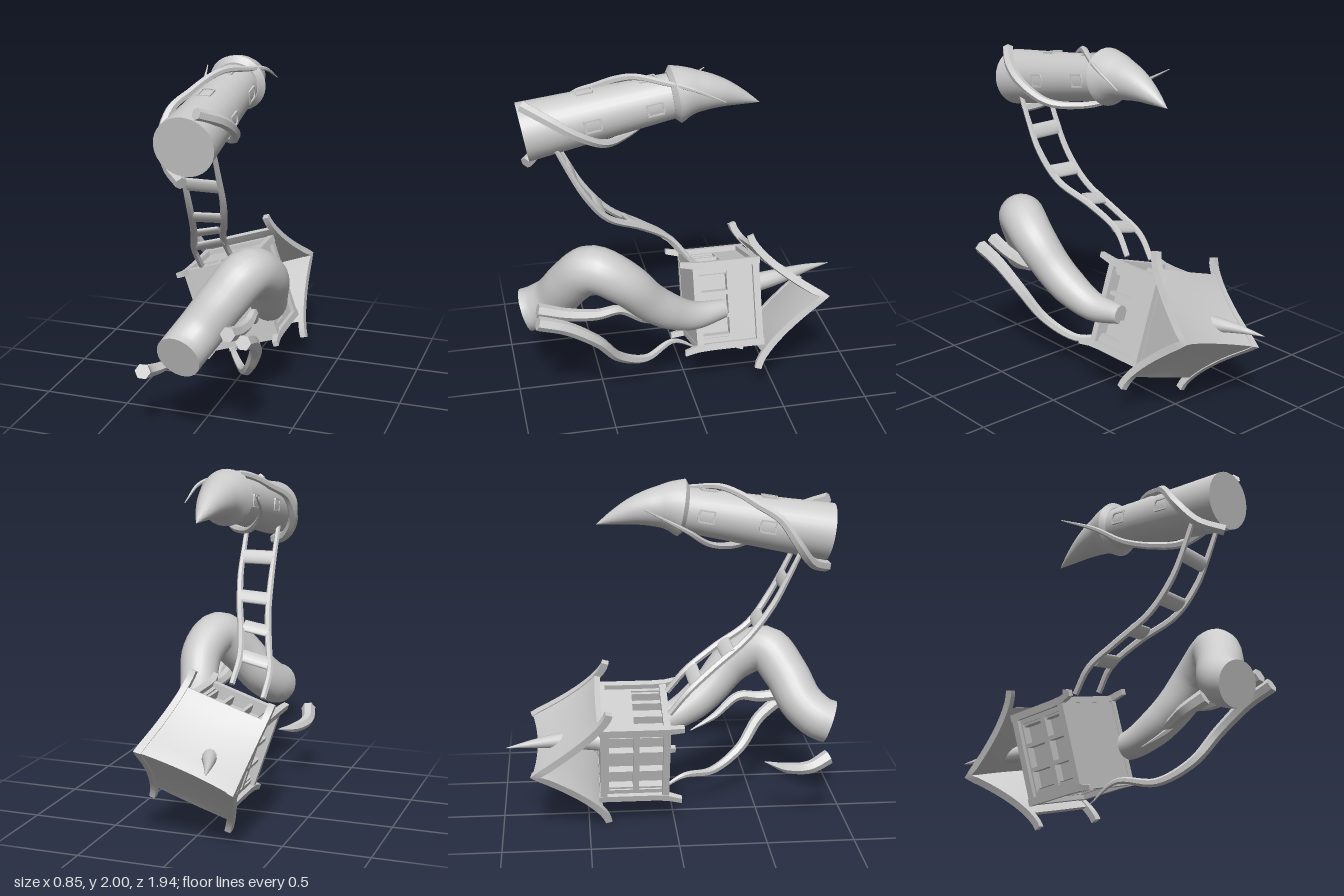
import * as THREE from 'three';
import { toCreasedNormals } from 'three/addons/utils/BufferGeometryUtils.js';

const mat = new THREE.MeshStandardMaterial({ color: 0xcccccc, side: THREE.DoubleSide });

function add(parent, name, geo, x = 0, y = 0, z = 0) {
  const m = new THREE.Mesh(geo, mat);
  m.name = name;
  m.position.set(x, y, z);
  parent.add(m);
  return m;
}
const box = (parent, name, size, x, y, z) => add(parent, name, new THREE.BoxGeometry(...size), x, y, z);

// Tube whose radius follows a list of values spread evenly along the path, with flat caps
function taperTube(parent, name, points, radii, sides, steps) {
  const curve = new THREE.CatmullRomCurve3(points.map((p) => new THREE.Vector3(...p)));
  const geo = new THREE.TubeGeometry(curve, steps, 1, sides);
  const pos = geo.attributes.position;
  const v = new THREE.Vector3();
  const group = new THREE.Group();
  group.name = name;
  for (let i = 0; i <= steps; i++) {
    const c = curve.getPointAt(i / steps);
    const f = (i / steps) * (radii.length - 1);
    const k = Math.min(Math.floor(f), radii.length - 2);
    const r = THREE.MathUtils.lerp(radii[k], radii[k + 1], f - k);
    const ring = [];
    for (let j = 0; j <= sides; j++) {
      const n = i * (sides + 1) + j;
      v.fromBufferAttribute(pos, n).sub(c).multiplyScalar(r).add(c);
      pos.setXYZ(n, v.x, v.y, v.z);
      ring.push(v.clone());
    }
    if ((i === 0 || i === steps) && r > 0.001) {
      const tris = [];
      for (let j = 0; j < sides; j++) {
        tris.push(c, ...(i === 0 ? [ring[j], ring[j + 1]] : [ring[j + 1], ring[j]]));
      }
      const cap = new THREE.BufferGeometry().setFromPoints(tris);
      cap.computeVertexNormals();
      add(group, name + 'Cap', cap);
    }
  }
  add(group, name + 'Body', toCreasedNormals(geo, 0.9));
  parent.add(group);
}

// Flat panel with rectangular openings [x, y, width, height]
function panel(w, h, depth, holes) {
  const rect = (p, x, y, a, b) => p.moveTo(x, y).lineTo(x + a, y).lineTo(x + a, y + b).lineTo(x, y + b).closePath();
  const s = new THREE.Shape();
  rect(s, -w / 2, 0, w, h);
  holes.forEach((o) => {
    const p = new THREE.Path();
    rect(p, ...o);
    s.holes.push(p);
  });
  return new THREE.ExtrudeGeometry(s, { depth, bevelEnabled: false });
}

function arch(path, w, h) {
  path.moveTo(-w / 2, -h / 2).lineTo(w / 2, -h / 2).lineTo(w / 2, h * 0.4);
  path.quadraticCurveTo(0, h * 0.58, -w / 2, h * 0.4).closePath();
  return path;
}

// Group with its own x and y axes set in model space
function frame(parent, name, x, y, origin) {
  const g = new THREE.Group();
  g.name = name;
  const X = new THREE.Vector3(...x).normalize();
  const Y = new THREE.Vector3(...y);
  Y.addScaledVector(X, -Y.dot(X)).normalize();
  g.quaternion.setFromRotationMatrix(new THREE.Matrix4().makeBasis(X, Y, X.clone().cross(Y)));
  g.position.set(...origin);
  parent.add(g);
  return g;
}

// Height of the concave roof slope at distance b from the ridge
const slope = (b) => 0.385 + 0.42 * Math.pow(1 - Math.min(b / 0.4, 1), 1.45);

// Strip of roof bent over the ridge, from x0 to x1 (in half lengths), reaching b = reach
function roofStrip(x0, x1, reach, thick) {
  const geo = new THREE.BoxGeometry(x1 - x0, thick, 2, 10, 1, 24);
  const p = geo.attributes.position;
  for (let i = 0; i < p.count; i++) {
    const u = p.getX(i) + (x0 + x1) / 2, z = p.getZ(i) * reach, b = Math.abs(z);
    const sag = (1 - u * u) * THREE.MathUtils.lerp(-0.035, 0.02, b / 0.4);
    const t = p.getY(i);
    const half = 0.26 + 0.04 * Math.pow(1 - b / 0.4, 2);
    p.setXYZ(i, u * half, slope(b) + sag + t * (1.4 - 1.2 * b), z + Math.sign(z) * t * 0.3);
  }
  return toCreasedNormals(geo, 0.6);
}

function buildHouse(root) {
  const tilt = THREE.MathUtils.degToRad(18.5);
  const house = frame(root, 'house', [Math.cos(tilt), Math.sin(tilt), 0], [0, 0, -1], [-0.045, 0.47, 0]);
  box(house, 'floor', [0.43, 0.03, 0.5], 0, 0.053, 0);
  box(house, 'ceiling', [0.38, 0.015, 0.44], 0, 0.425, 0);

  // Corner posts with feet splayed outwards, and the beams between them
  for (const sx of [-1, 1]) for (const sz of [-1, 1]) {
    const geo = new THREE.BoxGeometry(0.04, 0.48, 0.04, 1, 6, 1);
    const p = geo.attributes.position;
    for (let i = 0; i < p.count; i++) {
      const k = Math.max(0, (-0.14 - p.getY(i)) / 0.1);
      p.setX(i, p.getX(i) * (1 - 0.2 * k) + sx * 0.016 * k);
      p.setZ(i, p.getZ(i) * (1 - 0.2 * k) + sz * 0.02 * k);
    }
    add(house, 'cornerPost', toCreasedNormals(geo, 0.4), sx * 0.212, 0.2, sz * 0.245);
  }
  for (const y of [0.055, 0.415]) for (const s of [-1, 1]) {
    box(house, 'sideBeam', [0.4, 0.04, 0.035], 0, y, s * 0.245);
    box(house, 'endBeam', [0.035, 0.04, 0.47], s * 0.212, y, 0);
  }

  // Walls with three deep openings; the two lower walls have a second row
  for (let i = 0; i < 4; i++) {
    const side = i % 2 === 0;
    const wall = new THREE.Group();
    wall.name = side ? 'sideWall' : 'endWall';
    wall.rotation.y = (i * Math.PI) / 2;
    house.add(wall);
    const w = side ? 0.39 : 0.45, d = side ? 0.185 : 0.155;
    const holes = [];
    for (const k of [-1, 0, 1]) for (const y of i < 2 ? [0.02] : [0.02, 0.195]) {
      holes.push([k * w * 0.31 - w * 0.13, y, w * 0.26, i < 2 ? 0.17 : 0.14]);
    }
    add(wall, 'wallPanel', panel(w, 0.37, 0.05, holes), 0, 0.05, d);
    add(wall, 'windowBack', new THREE.PlaneGeometry(w, 0.37), 0, 0.235, d - 0.005);
  }

  // Sagging gable roof, with end boards running out into upswept horns
  add(house, 'roof', roofStrip(-0.96, 0.96, 0.31, 0.03));
  for (const s of [-0.93, 0.93]) add(house, 'gableBoard', roofStrip(s - 0.07, s + 0.07, 0.4, 0.042));
}

function buildTower(root) {
  const tower = frame(root, 'tower', [1, 0, 0], [0, 0.14, -0.81], [0.02, 1.685, 0.9]);
  add(tower, 'towerWall', new THREE.CylinderGeometry(0.125, 0.165, 0.88, 32), 0, 0.44, 0);
  // Arched window frames on the two sides and the top
  const shape = arch(new THREE.Shape(), 0.075, 0.1);
  shape.holes.push(arch(new THREE.Path(), 0.058, 0.08));
  const win = new THREE.ExtrudeGeometry(shape, { depth: 0.03, bevelEnabled: false, curveSegments: 4 });
  for (const a of [-1, 0, 1]) for (const y of [0.38, 0.73]) {
    const holder = new THREE.Group();
    holder.name = 'towerWindow';
    holder.rotation.y = (a * Math.PI) / 2;
    add(holder, 'windowFrame', win, 0, y, 0.165 - (0.04 * y) / 0.88 - 0.026);
    tower.add(holder);
  }
  // Drooping pointed roof with a rounded brim
  taperTube(root, 'towerRoof',
    [[0.025, 1.834, 0.08], [0.025, 1.846, -0.01], [0.025, 1.842, -0.11], [0.025, 1.825, -0.21], [0.025, 1.791, -0.32], [0.025, 1.75, -0.43]],
    [0.13, 0.163, 0.153, 0.142, 0.131, 0.12, 0.112, 0.105, 0.097, 0.089, 0.081, 0.072, 0.063, 0.054, 0.044, 0.034, 0.023, 0.012, 0], 28, 36);
}

function buildLadder(root) {
  const ladder = new THREE.Group();
  ladder.name = 'ladder';
  root.add(ladder);
  const left = [[-0.23, 0.7, -0.035], [-0.235, 0.83, 0.07], [-0.18, 0.95, 0.22], [-0.11, 1.1, 0.42], [-0.08, 1.28, 0.565], [-0.075, 1.46, 0.66], [-0.075, 1.62, 0.735]];
  const right = [[-0.04, 0.77, -0.035], [-0.05, 0.9, 0.07], [0, 1.02, 0.24], [0.08, 1.14, 0.45], [0.12, 1.31, 0.58], [0.125, 1.47, 0.665], [0.125, 1.62, 0.735]];
  for (const pts of [left, right]) taperTube(ladder, 'ladderRail', pts, [0.018, 0.021, 0.02, 0.014], 6, 30);

  // Flattened round rungs: left end, right end, direction up the ladder
  const rungs = [
    [[-0.215, 0.87, 0.12], [-0.045, 0.915, 0.1], [0, 0.65, 0.75]],
    [[-0.15, 1.02, 0.31], [0, 1.05, 0.29], [0, 0.6, 0.8]],
    [[-0.09, 1.18, 0.49], [0.09, 1.19, 0.49], [0, 0.75, 0.65]],
    [[-0.075, 1.41, 0.635], [0.122, 1.41, 0.635], [0, 0.9, 0.43]],
  ];
  for (const [l, r, up] of rungs) {
    const a = new THREE.Vector3(...l), x = new THREE.Vector3(...r).sub(a);
    const rung = frame(ladder, 'rung', x.toArray(), up, a.addScaledVector(x, 0.5).toArray());
    const geo = new THREE.CylinderGeometry(0.045, 0.045, x.length(), 12).rotateZ(Math.PI / 2);
    add(rung, 'rungBar', geo).scale.z = 0.35;
  }
}

export function createModel() {
  const root = new THREE.Group();
  root.name = 'treeHouse';

  buildHouse(root);
  buildTower(root);
  buildLadder(root);

  // Bent trunk reaching into the house
  taperTube(root, 'trunk',
    [[-0.012, 0.542, 0.935], [-0.003, 0.56, 0.88], [0.055, 0.645, 0.775], [0.16, 0.8, 0.69], [0.26, 0.925, 0.575], [0.305, 0.84, 0.4], [0.27, 0.67, 0.24], [0.235, 0.57, 0.11], [0.205, 0.515, -0.02], [0.165, 0.515, -0.21]],
    [0.128, 0.13, 0.132, 0.137, 0.128, 0.115, 0.107, 0.085, 0.055], 24, 48);

  // Hooked chimney spike through the roof
  taperTube(root, 'roofSpike',
    [[-0.1, 0.5, -0.43], [-0.13, 0.52, -0.64], [-0.185, 0.525, -0.82], [-0.225, 0.52, -0.965]],
    [0.06, 0.052, 0.04, 0.022, 0.002], 12, 16);

  // Vines winding round the tower
  const vine = [0.034, 0.03, 0.024, 0.02, 0.014, 0.003];
  taperTube(root, 'towerVine',
    [[0, 1.49, 0.885], [-0.11, 1.54, 0.78], [-0.18, 1.66, 0.69], [-0.165, 1.8, 0.59], [-0.1, 1.87, 0.47], [-0.04, 1.925, 0.37], [0.02, 1.955, 0.27], [0.1, 1.94, 0.13], [0.165, 1.92, 0], [0.18, 1.83, -0.2]],
    vine, 6, 40);
  taperTube(root, 'towerVine',
    [[0.09, 1.865, 0.9], [0.18, 1.8, 0.76], [0.2, 1.72, 0.63], [0.14, 1.63, 0.47], [0.03, 1.615, 0.34], [-0.08, 1.65, 0.2], [-0.18, 1.75, 0.06], [-0.23, 1.88, -0.17]],
    vine, 6, 40);

  // Roots trailing beside the trunk
  const rootRadii = [0.042, 0.038, 0.033, 0.027, 0.02, 0.003];
  taperTube(root, 'root',
    [[0.34, 0.66, 0.9], [0.33, 0.6, 0.74], [0.3, 0.47, 0.56], [0.22, 0.3, 0.43], [0.12, 0.2, 0.25], [0, 0.22, 0.06], [-0.03, 0.12, -0.11]],
    rootRadii, 6, 36);
  taperTube(root, 'root',
    [[0.25, 0.69, 0.89], [0.25, 0.64, 0.72], [0.25, 0.62, 0.55], [0.24, 0.63, 0.42], [0.2, 0.52, 0.27], [0.15, 0.45, 0.12]],
    rootRadii, 6, 32);
  taperTube(root, 'root',
    [[-0.235, 0.41, 0.89], [-0.26, 0.36, 0.78], [-0.22, 0.34, 0.66], [-0.15, 0.355, 0.53]],
    [0.044, 0.038, 0.03, 0.003], 6, 20);

  return root;
}
